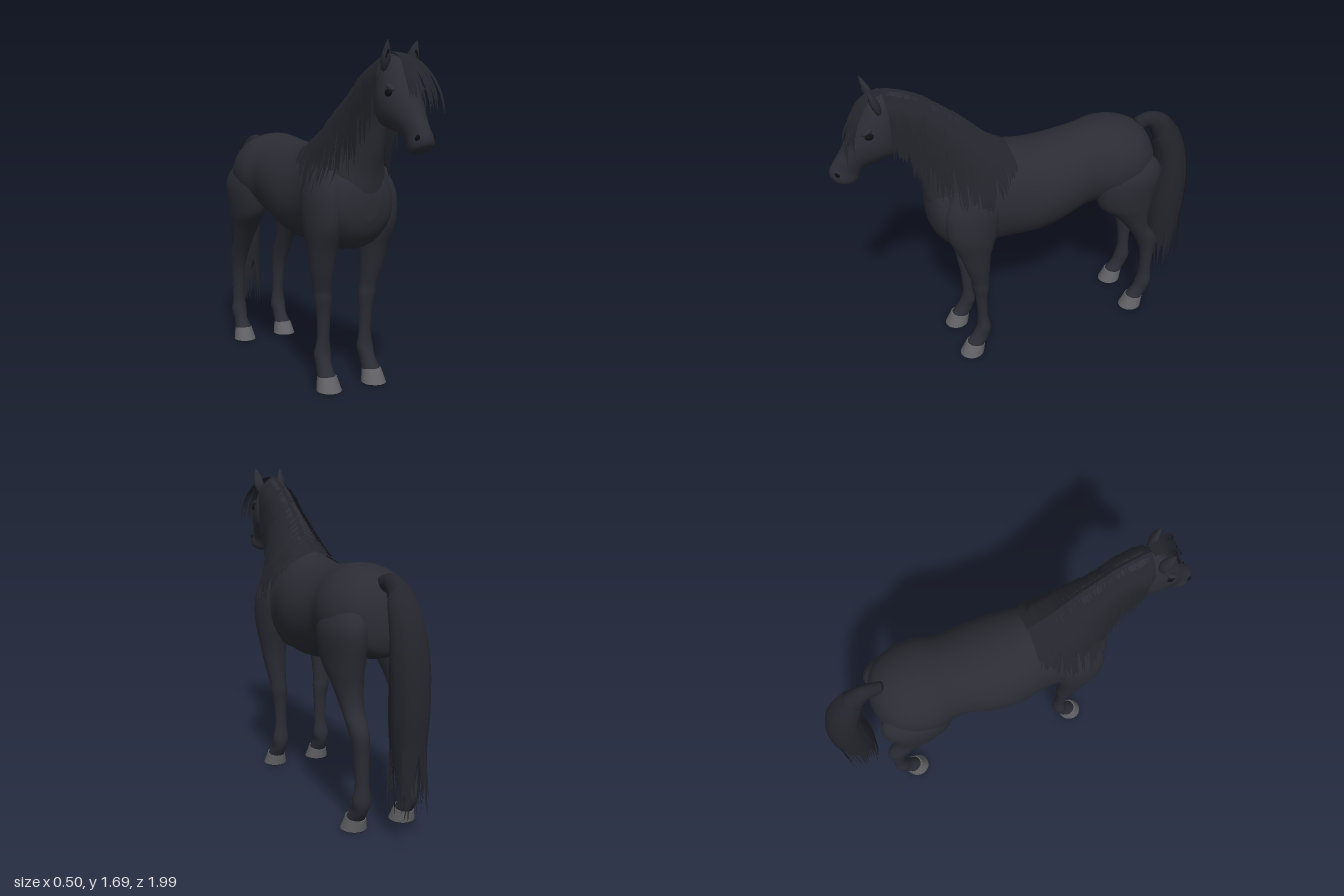
import * as THREE from 'three';
import { mergeGeometries, toCreasedNormals } from 'three/addons/utils/BufferGeometryUtils.js';

const paint = (name, color, extra = {}) => Object.assign(new THREE.MeshStandardMaterial({ color, ...extra }), { name });

// Cross-section: [centre x, half width, top/front z, y, bottom/back z, y]
const TORSO = [
  [0, .05, .552, .99, .546, .87], [0, .14, .525, 1.08, .515, .79], [0, .195, .45, 1.16, .45, .725],
  [0, .222, .36, 1.21, .36, .7], [0, .212, .2, 1.245, .2, .692], [0, .242, 0, 1.21, 0, .7],
  [0, .235, -.15, 1.21, -.15, .737], [0, .213, -.3, 1.23, -.3, .785], [0, .238, -.43, 1.245, -.43, .79],
  [0, .225, -.55, 1.225, -.55, .8], [0, .18, -.64, 1.18, -.64, .82], [0, .12, -.69, 1.11, -.69, .85],
  [0, .04, -.715, 1.02, -.715, .92]];
const NECK = [
  [0, .05, .735, 1.63, .68, 1.42], [0, .075, .68, 1.637, .645, 1.35], [0, .078, .57, 1.592, .628, 1.29],
  [0, .085, .47, 1.52, .6, 1.19], [0, .11, .36, 1.43, .565, 1.08], [0, .155, .24, 1.315, .545, .96],
  [0, .18, .12, 1.235, .5, .82], [0, .15, 0, 1.15, .4, .76]];
const HEAD = [
  [0, .05, .71, 1.635, .64, 1.47], [0, .088, .78, 1.605, .655, 1.36], [0, .098, .838, 1.525, .685, 1.315],
  [0, .085, .888, 1.45, .76, 1.297], [0, .062, .932, 1.375, .82, 1.28], [0, .05, .973, 1.32, .852, 1.245],
  [0, .054, .995, 1.283, .875, 1.208], [0, .046, .995, 1.25, .91, 1.2], [0, .02, .975, 1.225, .94, 1.21]];
const FORELEG = [
  [.14, .05, .45, 1.1, .25, 1.12], [.152, .085, .5, .98, .2, 1], [.155, .085, .495, .84, .23, .84],
  [.15, .07, .44, .71, .268, .7], [.145, .058, .405, .6, .278, .6], [.135, .046, .373, .5, .28, .5],
  [.13, .046, .367, .45, .28, .45], [.125, .036, .354, .37, .29, .37], [.123, .033, .346, .25, .29, .25],
  [.127, .045, .352, .175, .278, .165], [.13, .038, .378, .125, .288, .11], [.132, .046, .418, .07, .318, .06]];
const HINDLEG = [
  [.12, .06, -.32, 1.08, -.6, 1.1], [.148, .098, -.32, .95, -.712, .98], [.148, .088, -.36, .8, -.685, .8],
  [.145, .07, -.46, .705, -.666, .69], [.142, .055, -.54, .61, -.676, .59], [.14, .047, -.605, .51, -.737, .49],
  [.136, .038, -.65, .4, -.735, .39], [.132, .034, -.665, .25, -.73, .25], [.132, .045, -.652, .175, -.737, .165],
  [.132, .038, -.63, .125, -.722, .11], [.132, .046, -.587, .07, -.685, .06]];
const TAIL = [
  [0, .03, -.62, 1.2, -.66, 1.12], [0, .038, -.72, 1.222, -.71, 1.135], [0, .055, -.83, 1.175, -.755, 1.04],
  [0, .072, -.925, 1.04, -.785, .91], [0, .082, -.975, .86, -.79, .8], [0, .08, -.985, .62, -.78, .62],
  [0, .066, -.97, .46, -.785, .46], [0, .02, -.93, .36, -.83, .36]];

const cubic = (a, b, c, d, t) => .5 * (2 * b + (c - a) * t + (2 * a - 5 * b + 4 * c - d) * t * t + (3 * b - a - 3 * c + d) * t ** 3);
// Smoothly interpolated section at s in 0..1
function sectionAt(list, s) {
  const n = list.length - 1, i = Math.min(Math.floor(s * n), n - 1), t = s * n - i;
  const [a, b, c, d] = [i - 1, i, i + 1, i + 2].map(k => list[Math.max(0, Math.min(n, k))]);
  return b.map((_, k) => cubic(a[k], b[k], c[k], d[k], t));
}
const ringPoint = ([x, w, az, ay, bz, by], ang, k = 1) => new THREE.Vector3(
  x + w * k * Math.sin(ang),
  (ay + by) / 2 + (ay - by) / 2 * k * Math.cos(ang),
  (az + bz) / 2 + (az - bz) / 2 * k * Math.cos(ang));

// Closed skin through the sections
function loft(list, steps = 5, sides = 28) {
  const rows = (list.length - 1) * steps, pos = [], index = [];
  for (let r = 0; r <= rows; r++) for (let j = 0; j < sides; j++)
    pos.push(...ringPoint(sectionAt(list, r / rows), j / sides * Math.PI * 2).toArray());
  for (const s of [0, 1]) {
    const [x, , az, ay, bz, by] = sectionAt(list, s);
    pos.push(x, (ay + by) / 2, (az + bz) / 2);
  }
  const base = (rows + 1) * sides;
  for (let j = 0; j < sides; j++) {
    const k = (j + 1) % sides;
    for (let r = 0; r < rows; r++) {
      const a = r * sides + j, b = r * sides + k;
      index.push(a, b, a + sides, b, b + sides, a + sides);
    }
    index.push(base, k, j, base + 1, rows * sides + j, rows * sides + k);
  }
  // Turn the faces outward whichever way the sections run
  let volume = 0;
  const v = i => new THREE.Vector3().fromArray(pos, i * 3);
  for (let i = 0; i < index.length; i += 3) volume += v(index[i]).dot(v(index[i + 1]).cross(v(index[i + 2])));
  if (volume < 0) index.reverse();
  const g = new THREE.BufferGeometry();
  g.setAttribute('position', new THREE.Float32BufferAttribute(pos, 3));
  g.setIndex(index);
  g.computeVertexNormals();
  return g;
}

// Tapered hair ribbon along a path
function lock(points, width, side, steps = 12) {
  const curve = new THREE.CatmullRomCurve3(points), pos = [], index = [];
  for (let i = 0; i <= steps; i++) {
    const t = i / steps, p = curve.getPoint(t), w = width / 2 * (1 - .9 * t ** 3);
    for (const e of [-1, 1]) pos.push(...p.clone().addScaledVector(side, e * w).toArray());
    if (i < steps) index.push(2 * i, 2 * i + 1, 2 * i + 2, 2 * i + 1, 2 * i + 3, 2 * i + 2);
  }
  const g = new THREE.BufferGeometry();
  g.setAttribute('position', new THREE.Float32BufferAttribute(pos, 3));
  g.setIndex(index);
  g.computeVertexNormals();
  return g;
}

export function createModel() {
  const model = new THREE.Group();
  model.name = 'horse';
  const coat = paint('coat', 0x2b2c34), hair = paint('hair', 0x24252c, { side: THREE.DoubleSide });
  const horn = paint('hoof horn', 0x626266), dark = paint('dark', 0x101013);
  const add = (name, geo, mat) => {
    const m = new THREE.Mesh(geo, mat);
    m.name = name;
    model.add(m);
    return m;
  };
  let seed = 7;
  const rnd = () => (seed = (seed * 16807) % 2147483647) / 2147483647;
  const vec = (x, y, z) => new THREE.Vector3(x, y, z);

  add('torso', loft(TORSO), coat);
  add('neck', loft(NECK), coat);
  add('head', loft(HEAD), coat);
  add('tailCore', loft(TAIL), hair);

  for (const s of [1, -1]) {
    const tag = s > 0 ? 'left' : 'right', flip = list => list.map(([x, ...rest]) => [x * s, ...rest]);
    add(tag + 'Foreleg', loft(flip(FORELEG), 5, 20), coat);
    add(tag + 'HindLeg', loft(flip(HINDLEG), 5, 20), coat);
    // Hooves with dark soles
    for (const [name, z] of [['Fore', 0], ['Hind', -1.006]]) {
      const hoof = [[.132 * s, .048, .422 + z, .076, .316 + z, .06], [.132 * s, .063, .458 + z, .003, .326 + z, .003]];
      add(tag + name + 'Hoof', toCreasedNormals(loft(hoof, 3, 24), .7), horn);
      const sole = new THREE.CylinderGeometry(.061, .061, .004, 24).scale(1, 1, 1.06);
      add(tag + name + 'Sole', sole, dark).position.set(.132 * s, .002, .392 + z);
    }
    // Ear: cupped leaf shape
    const ear = new THREE.LatheGeometry([[.001, -.03], [.02, -.015], [.029, .025], [.025, .06], [.013, .095], [.001, .12]]
      .map(p => new THREE.Vector2(...p)), 14).scale(1, 1, .65);
    const earMesh = add(tag + 'Ear', ear, coat);
    earMesh.position.set(.067 * s, 1.58, .752);
    earMesh.rotation.set(.3, -.4 * s, -.1 * s);
    const inner = add(tag + 'EarInner', new THREE.SphereGeometry(.016, 12, 8).scale(1, 2.2, .25), dark);
    inner.position.set(.07 * s, 1.618, .778);
    inner.rotation.copy(earMesh.rotation);
    // Eye, brow and nostril
    add(tag + 'Eye', new THREE.SphereGeometry(.019, 16, 12).scale(.7, .9, 1.1), dark).position.set(.084 * s, 1.465, .808);
    const brow = add(tag + 'Brow', new THREE.SphereGeometry(.026, 14, 10).scale(.6, .45, 1.2), coat);
    brow.position.set(.08 * s, 1.488, .815);
    brow.rotation.x = .5;
    const nostril = add(tag + 'Nostril', new THREE.SphereGeometry(.013, 12, 8).scale(.45, 1.3, .8), dark);
    nostril.position.set(.043 * s, 1.275, .968);
    nostril.rotation.set(.5, -.5 * s, 0);
  }

  // Half width of the neck and torso at a height and depth
  const skins = [NECK, TORSO].flatMap(l => Array.from({ length: 90 }, (_, i) => sectionAt(l, i / 89)));
  const skinX = (y, z) => {
    let best = 0;
    for (const [, w, az, ay, bz, by] of skins) {
      const hz = (az - bz) / 2, hy = (ay - by) / 2, h = Math.hypot(hz, hy);
      const dz = z - (az + bz) / 2, dy = y - (ay + by) / 2, u = (dz * hz + dy * hy) / (h * h);
      if (Math.abs(dz * hy - dy * hz) / h < .015 && Math.abs(u) < 1) best = Math.max(best, w * Math.sqrt(1 - u * u));
    }
    return best;
  };

  // Mane: locks falling from the crest on both sides
  const mane = [], crestSide = vec(0, .3, .95);
  for (const s of [1, -1]) for (let i = 0; i < 110; i++) {
    const t = (i % 55 + rnd() * .6) / 55, fine = i >= 55;
    const [, , z, y] = sectionAt(NECK, .1 + t * .74);
    const len = (.3 + .17 * Math.sin(Math.PI * Math.min(1, t * 1.1))) * (t > .75 ? 1 - (t - .75) * 2.6 : 1) * (.72 + .36 * rnd());
    const drift = (rnd() - .5) * .05 - (t < .3 ? .02 : 0), pts = [vec(0, y + .006, z)];
    let x = .012;
    for (let k = 1; k <= 6; k++) {
      const f = k / 6, py = y - len * f, pz = z + drift * f;
      x = Math.max(x, skinX(py, pz) + .008 + .012 * Math.sin(Math.PI * f) + (fine ? .01 * rnd() : 0));
      pts.push(vec(s * x, py, pz));
    }
    mane.push(lock(pts, fine ? .01 + .01 * rnd() : .036, crestSide));
  }
  add('mane', mergeGeometries(mane), hair);

  // Forelock: wisps over the brow, swept to the left
  const forelock = [];
  for (let i = 0; i < 22; i++) {
    const x = -.05 + .15 * rnd(), r = rnd(), out = .02 * rnd();
    forelock.push(lock([vec(x * .25, 1.645, .72), vec(x * .5 + .01, 1.62, .795), vec(x * .85 + .015, 1.55, .85 + out),
      vec(x + .025, 1.49 - .03 * r, .878 + out * 2), vec(x * 1.05 + .03, 1.45 - .08 * r, .885 + out * 2.5)],
    .01 + .016 * rnd(), vec(1, 0, -.2)));
  }
  add('forelock', mergeGeometries(forelock), hair);

  // Tail: locks over the core, gathered into two bunches at the end
  const tail = [];
  for (let i = 0; i < 90; i++) {
    const a = (i + rnd()) / 90 * Math.PI * 2, k = 1.01 + .05 * rnd(), pts = [];
    for (const s of [.28, .42, .57, .71, .82]) pts.push(ringPoint(sectionAt(TAIL, s), a, k));
    const last = pts[4], end = .14 + .24 * rnd() ** 1.3;
    const bx = Math.sign(Math.sin(a)) * (.03 + .035 * rnd()), bz = -.885 + (last.z + .88) * .75;
    pts.push(vec((last.x + bx) / 2, (last.y + end) / 2, last.z * .6 + bz * .4), vec(bx, end, bz));
    tail.push(lock(pts, .012 + .022 * rnd(), vec(Math.cos(a), 0, Math.sin(a)).normalize(), 16));
  }
  add('tailLocks', mergeGeometries(tail), hair);
  return model;
}
